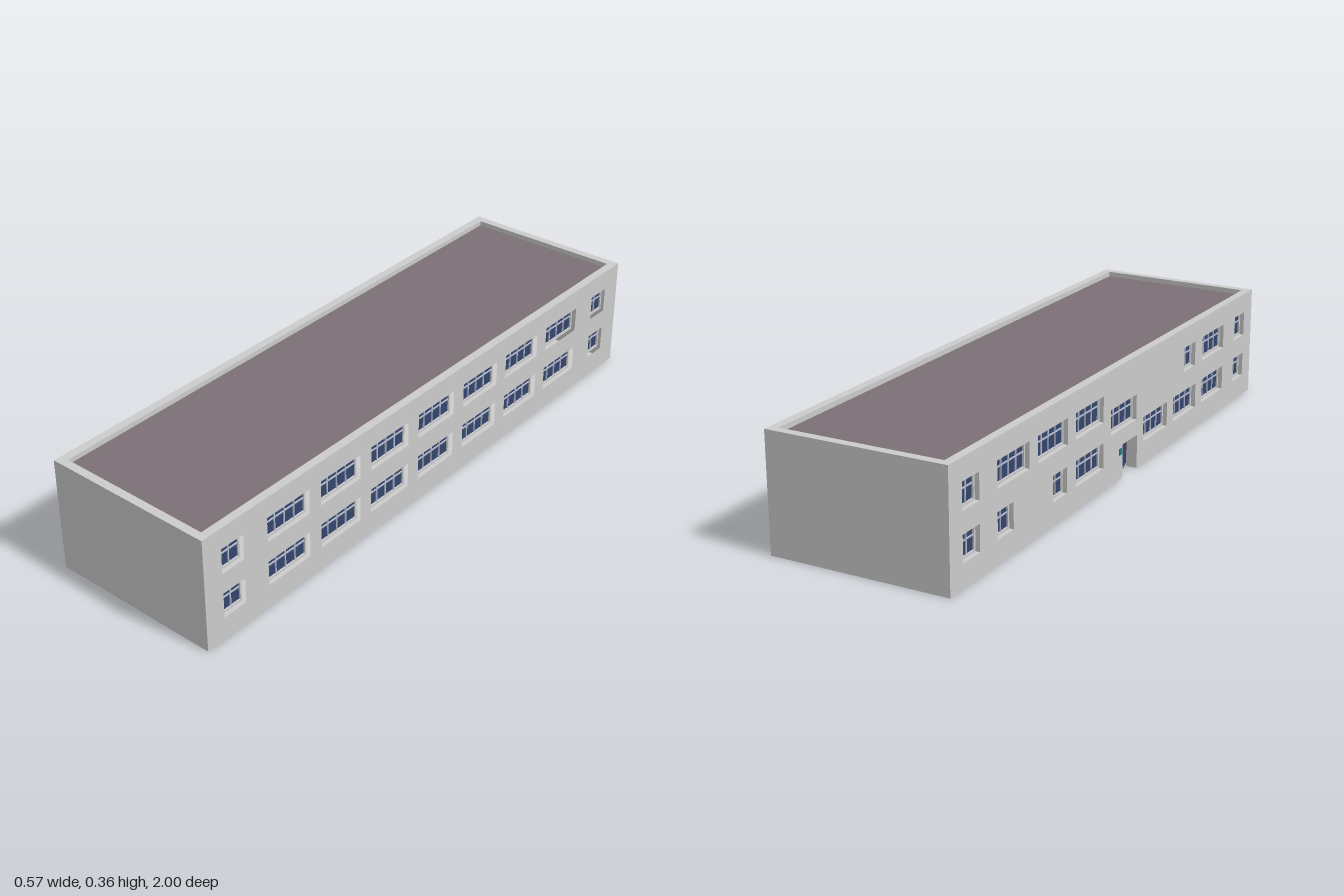
import * as THREE from 'three';

const H = 0.363, HX = 0.285, T = 0.027;       // height, half width, wall thickness
const ROOF_Y = 0.347, BIG = 0.173, SMALL = 0.085, WIN_H = 0.08;
const LOW = 0.112, HIGH = 0.257;              // window row centres
const DOOR = { z0: -0.012, z1: 0.087, h: 0.108, depth: 0.036 };

const mat = (color) => new THREE.MeshStandardMaterial({ color });
const wallMat = mat(0xcccccc), roofMat = mat(0x7a7075), glassMat = mat(0x34446e);
const frameMat = mat(0xb4bccb), doorMat = mat(0x4a2a38), signMat = mat(0x1f7f78);

function add(parent, name, geometry, material) {
  const mesh = new THREE.Mesh(geometry, material);
  mesh.name = name;
  parent.add(mesh);
  return mesh;
}

function box(parent, name, material, w, h, d, x, y, z) {
  const mesh = add(parent, name, new THREE.BoxGeometry(w, h, d), material);
  mesh.position.set(x, y, z);
  return mesh;
}

// Horizontal slab from plan points [x, z], between two heights
function slab(parent, name, material, points, y0, y1) {
  const shape = new THREE.Shape(points.map(([x, z]) => new THREE.Vector2(x, -z)));
  const geo = new THREE.ExtrudeGeometry(shape, { depth: y1 - y0, bevelEnabled: false });
  geo.rotateX(-Math.PI / 2).translate(0, y0, 0);
  return add(parent, name, geo, material);
}

// Recessed window: glass, outer frame, mullions and transom (local z points outward)
function makeWindow(u, y, w) {
  const g = new THREE.Group();
  g.name = 'window';
  g.position.set(u, y, 0);
  const rim = 0.007, z = 0.009, h = WIN_H, cols = w > 0.1 ? 4 : 2;
  box(g, 'glass', glassMat, w, h, 0.004, 0, 0, 0.006);
  for (const s of [-1, 1]) {
    box(g, 'frameSide', wallMat, rim, h, 0.008, s * (w - rim) / 2, 0, z);
    box(g, 'frameRail', wallMat, w - 2 * rim, rim, 0.008, 0, s * (h - rim) / 2, z);
  }
  for (let i = 1; i < cols; i++)
    box(g, 'mullion', frameMat, 0.004, h - 2 * rim, 0.005, -w / 2 + rim + (w - 2 * rim) * i / cols, 0, z);
  box(g, 'transom', frameMat, w - 2 * rim, 0.004, 0.005, 0, h * 0.12, z);
  return g;
}

// Long wall pierced by windows; side +1 faces +x, -1 faces -x. Windows are [z, y, width]
function sideWall(side, zFront, windows, door) {
  const g = new THREE.Group();
  g.name = side > 0 ? 'leftWall' : 'rightWall';
  g.rotation.y = side * Math.PI / 2;
  g.position.x = side * (HX - T);
  const toU = (z) => -side * z;
  const outline = [[-1, 0]];
  if (door) outline.push([door.z0, 0], [door.z0, door.h], [door.z1, door.h], [door.z1, 0]);
  outline.push([zFront, 0], [zFront, H], [-1, H]);
  const shape = new THREE.Shape(outline.map(([z, y]) => new THREE.Vector2(toU(z), y)));
  for (const [z, y, w] of windows) {
    const u = toU(z), a = w / 2, b = WIN_H / 2;
    shape.holes.push(new THREE.Path([[-a, -b], [-a, b], [a, b], [a, -b]]
      .map(([p, q]) => new THREE.Vector2(u + p, y + q))));
    g.add(makeWindow(u, y, w));
  }
  add(g, 'wall', new THREE.ExtrudeGeometry(shape, { depth: T, bevelEnabled: false }), wallMat);
  return g;
}

// Entrance set back in the right wall (local z points outward)
function makeEntrance() {
  const g = new THREE.Group();
  g.name = 'entrance';
  g.rotation.y = -Math.PI / 2;
  g.position.x = -(HX - DOOR.depth);
  const { z0, z1, h } = DOOR, mid = (z0 + z1) / 2, w = z1 - z0, lip = DOOR.depth - T;
  for (const z of [z0 - 0.005, z1 + 0.005])
    box(g, 'jamb', wallMat, 0.01, h, lip, z, h / 2, lip / 2);
  box(g, 'lintel', wallMat, w + 0.02, 0.01, lip, mid, h + 0.005, lip / 2);
  box(g, 'doorFrame', doorMat, w, h, 0.006, mid, h / 2, -0.003);
  for (const s of [-1, 1])
    box(g, 'doorGlass', glassMat, w * 0.36, h * 0.82, 0.003, mid + s * w * 0.22, h * 0.47, 0.0005);
  box(g, 'wallPlaque', signMat, 0.016, 0.02, 0.003, z0 - 0.018, 0.09, DOOR.depth + 0.001);
  return g;
}

export function createModel() {
  const model = new THREE.Group();
  model.name = 'building';
  const xi = HX - T, zl = 0.985;

  // Short end walls; the front one runs slightly askew
  slab(model, 'backWall', wallMat, [[-xi, -1], [-xi, -1 + T], [xi, -1 + T], [xi, -1]], 0, H);
  slab(model, 'frontWall', wallMat, [[-xi, zl - T], [-xi, zl], [xi, 1], [xi, 1 - T]], 0, H);

  // Sunken roof and notched floor
  slab(model, 'roof', roofMat,
    [[-xi, -1 + T], [-xi, zl - T], [xi, 1 - T], [xi, -1 + T]], ROOF_Y - 0.01, ROOF_Y);
  const xd = -HX + DOOR.depth;
  slab(model, 'floor', wallMat, [[-xi, -1 + T], [-xi, DOOR.z0], [xd, DOOR.z0], [xd, DOOR.z1],
    [-xi, DOOR.z1], [-xi, zl - T], [xi, 1 - T], [xi, -1 + T]], 0, 0.01);

  // Regular facade
  const regular = [];
  for (const y of [LOW, HIGH]) {
    for (const s of [-1, 1]) regular.push([s * 0.889, y, SMALL]);
    for (let i = -3; i <= 3; i++) regular.push([i * 0.222, y, BIG]);
  }
  model.add(sideWall(1, 1, regular));

  // Entrance facade with a lowered stair window
  const entranceSide = [
    [-0.893, LOW, SMALL], [-0.716, LOW, SMALL], [-0.411, LOW, SMALL], [-0.227, LOW, BIG],
    [0.216, LOW, BIG], [0.435, LOW, BIG], [0.657, LOW, BIG], [0.878, LOW, SMALL],
    [-0.893, HIGH, SMALL], [-0.672, HIGH, BIG], [-0.451, HIGH, BIG], [-0.229, HIGH, BIG],
    [-0.007, 0.2, BIG], [0.47, HIGH, SMALL], [0.657, HIGH, BIG], [0.878, HIGH, SMALL],
  ];
  model.add(sideWall(-1, zl, entranceSide, DOOR));
  model.add(makeEntrance());
  return model;
}
